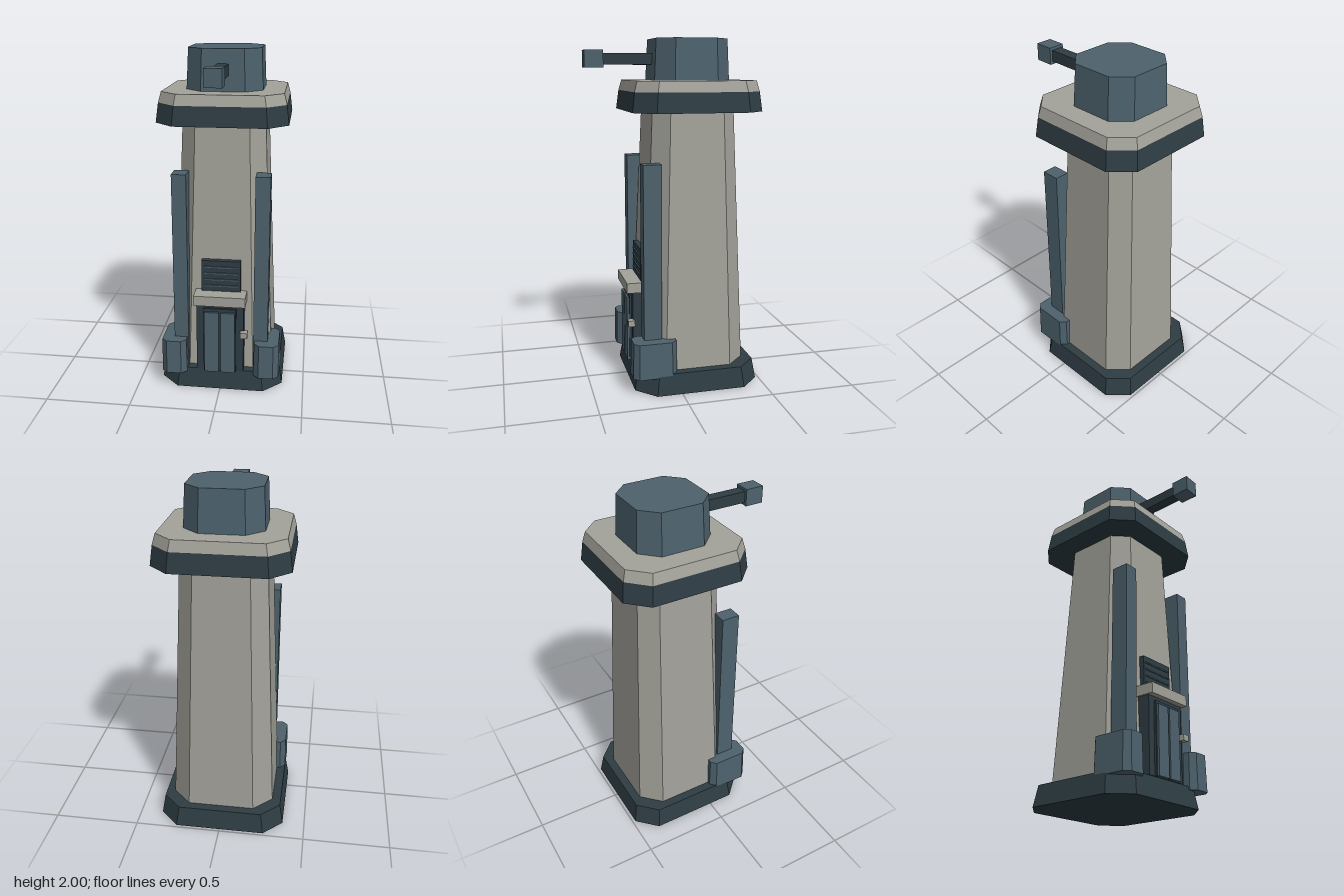
import * as THREE from 'three';

const stone = new THREE.MeshStandardMaterial({ color: 0xa3a29a });
stone.name = 'pale stone';
const steel = new THREE.MeshStandardMaterial({ color: 0x4d626d });
steel.name = 'blue steel';
const dark = new THREE.MeshStandardMaterial({ color: 0x2e3d44 });
dark.name = 'dark steel';

// Corners of a rectangle with cut corners, counter-clockwise seen from above
function octagon(hx, hz, cut) {
  const x = hx - cut, z = hz - cut;
  return [[x, hz], [hx, z], [hx, -z], [x, -hz], [-x, -hz], [-hx, -z], [-hx, z], [-x, hz]];
}

// Closed faceted solid through levels [y, halfX, halfZ, cornerCut]
function chamferedLoft(levels) {
  const rings = levels.map(([y, hx, hz, cut]) => octagon(hx, hz, cut).map(([x, z]) => [x, y, z]));
  const pos = [];
  const tri = (a, b, c) => pos.push(...a, ...b, ...c);
  for (let k = 0; k < rings.length - 1; k++) {
    const lo = rings[k], hi = rings[k + 1];
    for (let i = 0; i < 8; i++) {
      const j = (i + 1) % 8;
      tri(lo[i], lo[j], hi[j]);
      tri(lo[i], hi[j], hi[i]);
    }
  }
  const bottom = rings[0], top = rings[rings.length - 1];
  for (let i = 1; i < 7; i++) {
    tri(bottom[0], bottom[i + 1], bottom[i]);
    tri(top[0], top[i], top[i + 1]);
  }
  const geo = new THREE.BufferGeometry();
  geo.setAttribute('position', new THREE.Float32BufferAttribute(pos, 3));
  geo.computeVertexNormals();
  return geo;
}

export function createModel() {
  const model = new THREE.Group();
  model.name = 'watchtower';

  const add = (name, geo, mat, x = 0, y = 0, z = 0, parent = model) => {
    const mesh = new THREE.Mesh(geo, mat);
    mesh.name = name;
    mesh.position.set(x, y, z);
    parent.add(mesh);
    return mesh;
  };
  // Box given by its limits on each axis
  const box = (name, mat, [x0, x1], [y0, y1], [z0, z1], parent = model) =>
    add(name, new THREE.BoxGeometry(x1 - x0, y1 - y0, z1 - z0), mat,
      (x0 + x1) / 2, (y0 + y1) / 2, (z0 + z1) / 2, parent);

  // Tower body, stacked around its own axis
  const tower = new THREE.Group();
  tower.name = 'tower';
  tower.position.z = -0.113;
  model.add(tower);
  const stack = (name, mat, levels) =>
    add(name, chamferedLoft(levels.map(([y, h, cut]) => [y, h, h, cut])), mat, 0, 0, 0, tower);
  stack('base', dark, [[0, 0.37, 0.11], [0.12, 0.35, 0.105]]);
  stack('shaft', stone, [[0.12, 0.3, 0.107], [1.6, 0.238, 0.085]]);
  stack('collar', dark, [[1.6, 0.37, 0.11], [1.71, 0.356, 0.106]]);
  stack('platform', stone, [[1.71, 0.356, 0.106], [1.77, 0.34, 0.1]]);
  stack('turret', steel, [[1.77, 0.217, 0.094], [2, 0.206, 0.089]]);

  // Gun
  box('barrel', dark, [-0.032, 0.032], [1.856, 1.92], [0.06, 0.38]);
  box('muzzle', steel, [-0.047, 0.047], [1.84, 1.936], [0.377, 0.483]);

  // Buttresses on both front corners
  for (const side of [-1, 1]) {
    const buttress = new THREE.Group();
    buttress.name = side > 0 ? 'leftButtress' : 'rightButtress';
    model.add(buttress);
    add('pillar', new THREE.BoxGeometry(0.085, 1.22, 0.105), steel, side * 0.238, 0.71, 0.153, buttress);
    add('foot', chamferedLoft([[0.1, 0.076, 0.128, 0.032], [0.31, 0.072, 0.124, 0.03]]),
      steel, side * 0.276, 0, 0.15, buttress);
  }

  // Doorway
  const door = new THREE.Group();
  door.name = 'doorway';
  model.add(door);
  box('doorFrame', dark, [-0.14, 0.14], [0.12, 0.56], [0.1, 0.243], door);
  box('doorSurround', dark, [-0.097, 0.097], [0.12, 0.53], [0.24, 0.256], door);
  for (const side of [-1, 1]) {
    add('doorLeaf', new THREE.BoxGeometry(0.084, 0.39, 0.018), steel, side * 0.048, 0.315, 0.26, door);
  }
  box('lintel', stone, [-0.152, 0.152], [0.555, 0.615], [0.1, 0.278], door);
  box('doorControl', stone, [0.122, 0.165], [0.355, 0.39], [0.235, 0.274], door);

  // Vent above the door
  const vent = new THREE.Group();
  vent.name = 'vent';
  model.add(vent);
  box('ventPanel', dark, [-0.115, 0.115], [0.615, 0.805], [0.1, 0.19], vent);
  for (let i = 0; i < 4; i++) {
    add('ventSlat', new THREE.BoxGeometry(0.2, 0.007, 0.008), steel, 0, 0.65 + i * 0.039, 0.193, vent);
  }
  return model;
}
